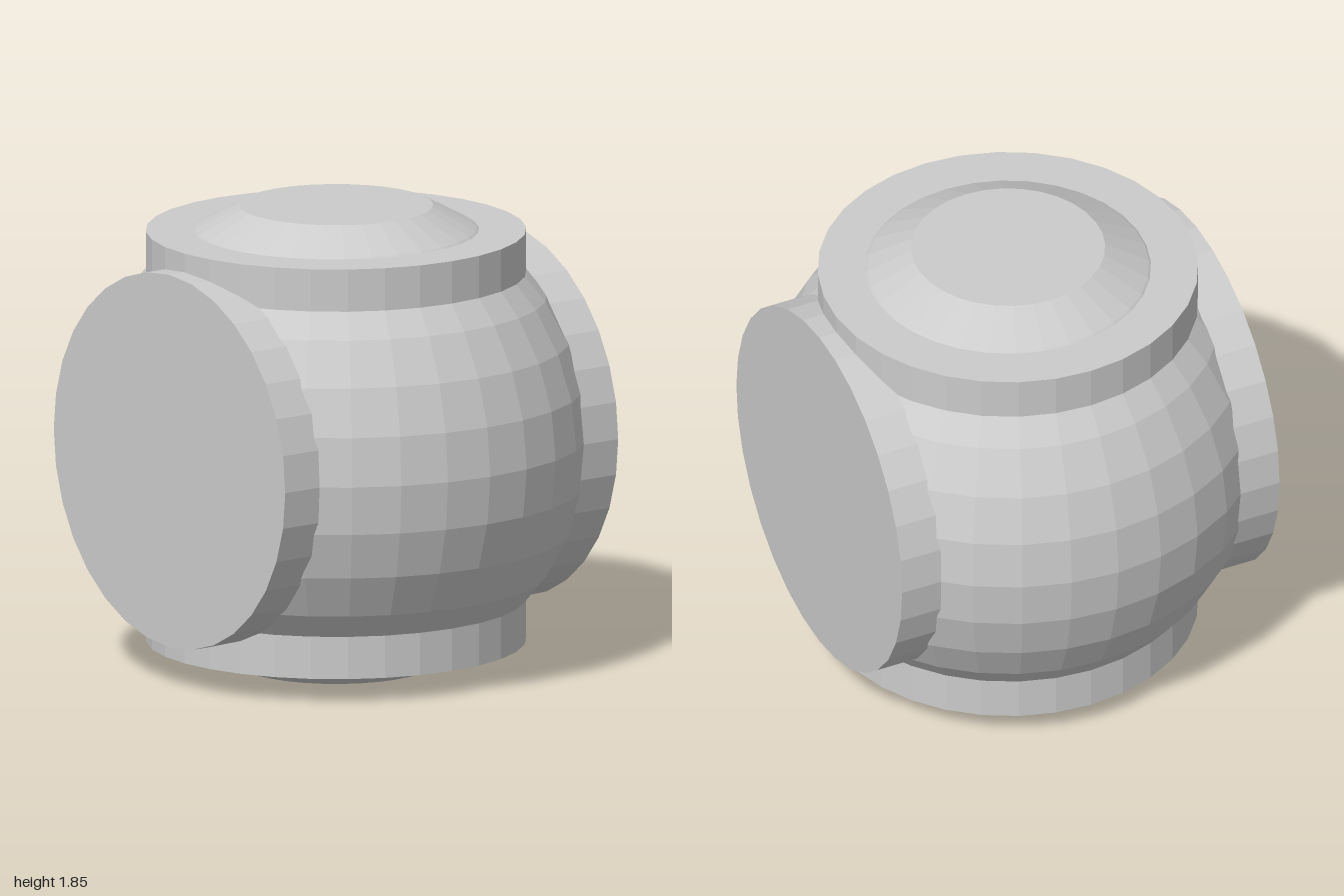
import * as THREE from 'three';

const SEGMENTS = 32;
const CENTRE_Y = 0.925;
const COLLAR_END = 0.825;

export function createModel() {
  const model = new THREE.Group();
  model.name = 'ballWithCollars';
  const material = new THREE.MeshStandardMaterial({ color: 0xcccccc, flatShading: true });

  const add = (name, geometry) => {
    const mesh = new THREE.Mesh(geometry, material);
    mesh.name = name;
    mesh.position.y = CENTRE_Y;
    model.add(mesh);
    return mesh;
  };

  // Faceted ball, cut flat at both poles
  const step = Math.PI / 16;
  const profile = [];
  for (let i = -6; i <= 6; i++) {
    profile.push(new THREE.Vector2(Math.cos(i * step), Math.sin(i * step)));
  }
  profile.unshift(new THREE.Vector2(0, profile[0].y));
  profile.push(new THREE.Vector2(0, profile[profile.length - 1].y));
  const ball = new THREE.LatheGeometry(profile, SEGMENTS);

  // Flatten the front and back so they end inside the collars
  const pos = ball.attributes.position;
  for (let i = 0; i < pos.count; i++) {
    pos.setZ(i, THREE.MathUtils.clamp(pos.getZ(i), -0.815, 0.815));
  }
  ball.computeVertexNormals();
  add('ball', ball);

  // Short round collars: top and bottom, front and back
  const inner = 0.58;
  const collar = new THREE.CylinderGeometry(0.75, 0.75, COLLAR_END - inner, SEGMENTS);
  collar.translate(0, (COLLAR_END + inner) / 2, 0);
  add('topCollar', collar);
  add('bottomCollar', collar).rotation.x = Math.PI;
  add('frontCollar', collar).rotation.x = Math.PI / 2;
  add('backCollar', collar).rotation.x = -Math.PI / 2;

  return model;
}
